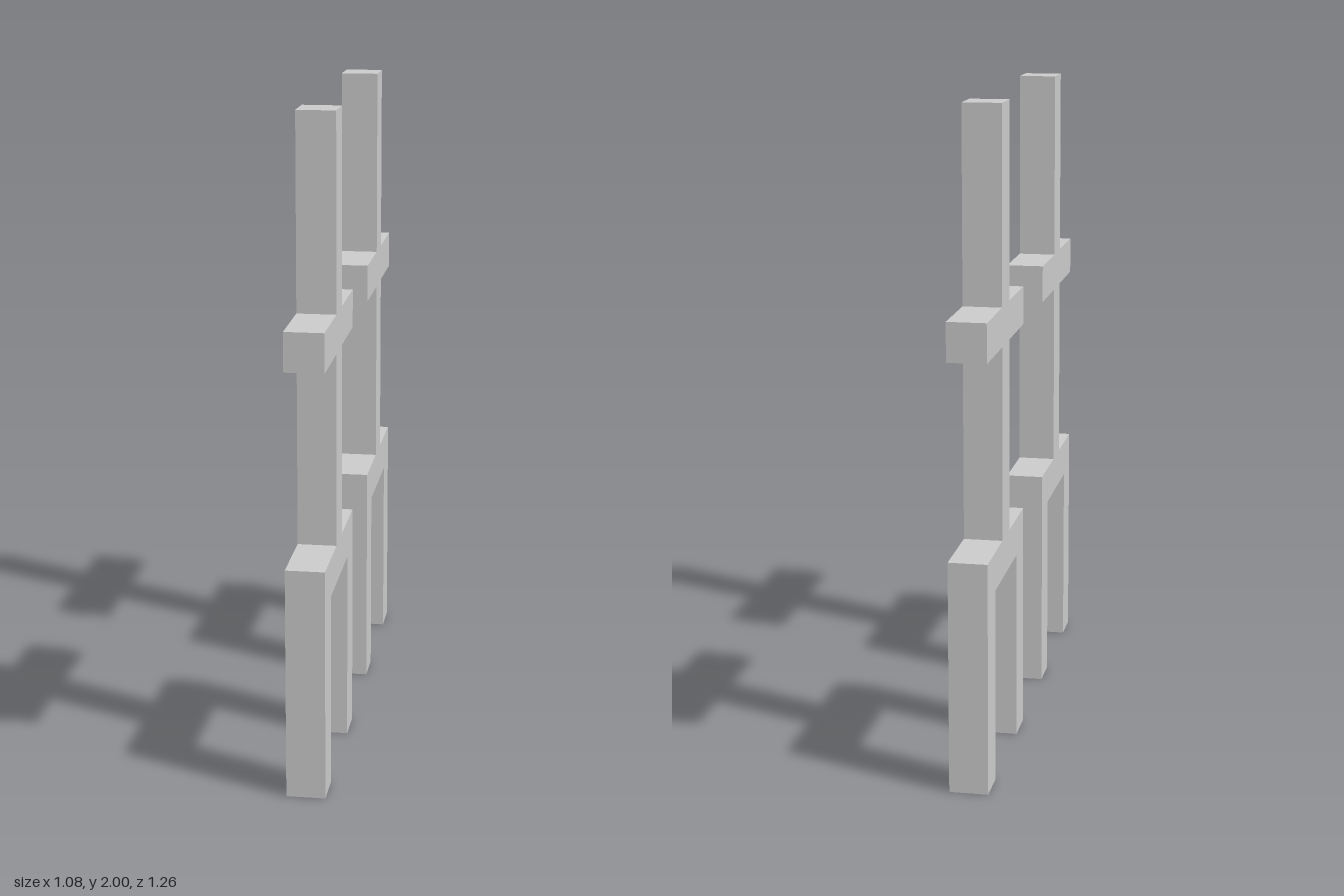
import * as THREE from 'three';

const T = 0.117;        // bar thickness
const HALF = 0.293;     // half span of arms and hips
const TOP = 2, ARM_TOP = 1.412, HIP_TOP = 0.708;

// Right half of the stick figure's outline, from crotch to head
const half = [
  [HALF - T, HIP_TOP - T], [HALF - T, 0], [HALF, 0], [HALF, HIP_TOP],
  [T / 2, HIP_TOP], [T / 2, ARM_TOP - T], [HALF, ARM_TOP - T], [HALF, ARM_TOP],
  [T / 2, ARM_TOP], [T / 2, TOP],
];

export function createModel() {
  const group = new THREE.Group();
  group.name = 'stickFigurePair';
  const material = new THREE.MeshStandardMaterial({ color: 0xcccccc, flatShading: true });

  // Mirrored outline extruded to a square-section body with legs and arms
  const mirrored = half.map(([x, y]) => [-x, y]).reverse();
  const outline = [...half, ...mirrored].map(([x, y]) => new THREE.Vector2(x, y));
  const geometry = new THREE.ExtrudeGeometry(new THREE.Shape(outline), { depth: T, bevelEnabled: false });
  geometry.translate(0, 0, -T / 2);

  // Two figures standing on a diagonal, both turned the same way
  for (const [name, side] of [['leftFigure', 1], ['rightFigure', -1]]) {
    const figure = new THREE.Mesh(geometry, material);
    figure.name = name;
    figure.position.set(0.306 * side, 0, 0.366 * side);
    figure.rotation.y = -0.876;
    group.add(figure);
  }
  return group;
}
